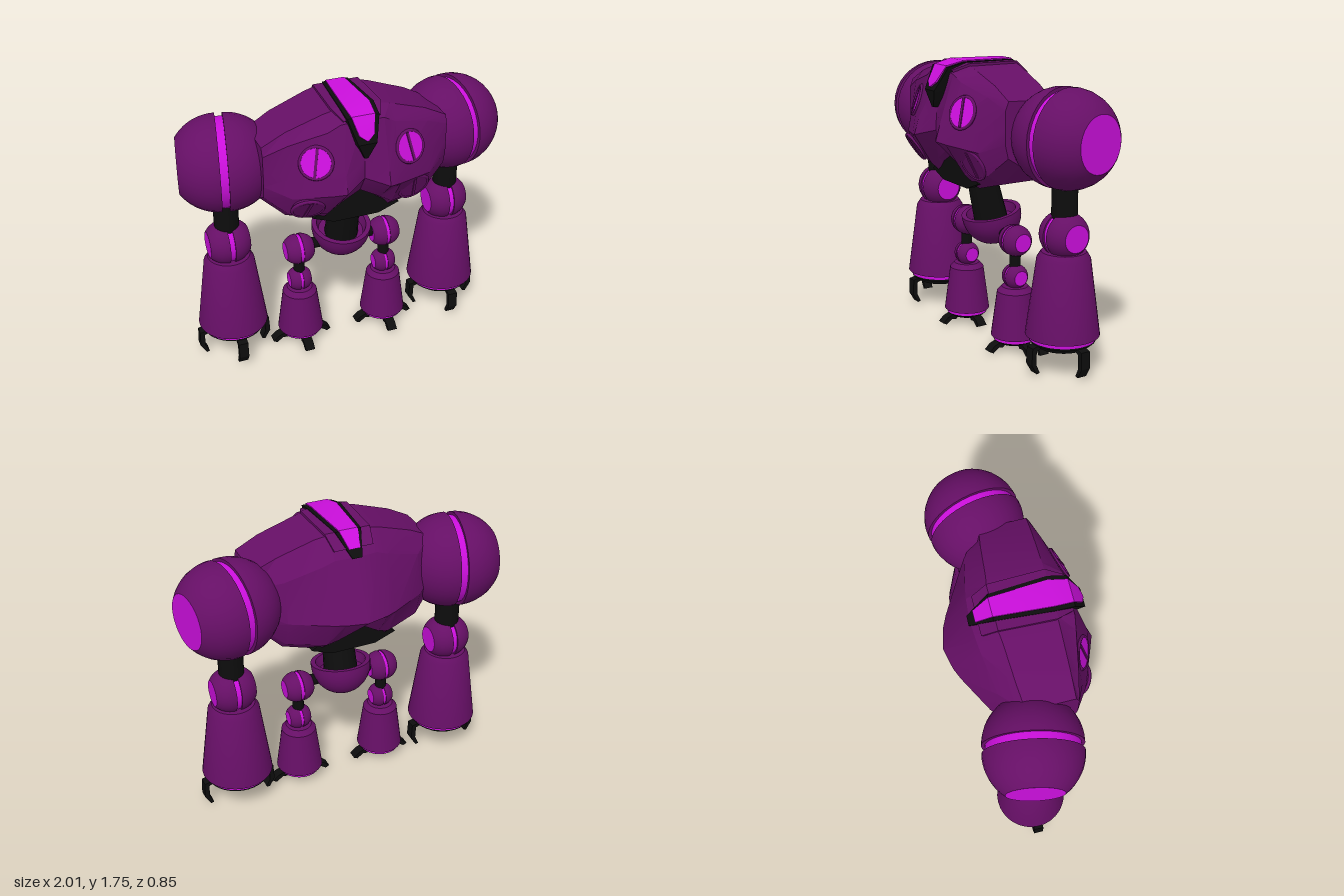
import * as THREE from 'three';
import { toCreasedNormals } from 'three/addons/utils/BufferGeometryUtils.js';

const purple = new THREE.MeshStandardMaterial({ color: 0x660f66 });
purple.name = 'purple armour';
const magenta = new THREE.MeshStandardMaterial({ color: 0xcb0fdc });
magenta.name = 'bright magenta';
const black = new THREE.MeshStandardMaterial({ color: 0x0d0d0d });
black.name = 'black joints';

const V2 = (x, y) => new THREE.Vector2(x, y);

function add(parent, name, geometry, material, x = 0, y = 0, z = 0) {
  const mesh = new THREE.Mesh(geometry, material);
  mesh.name = name;
  mesh.position.set(x, y, z);
  parent.add(mesh);
  return mesh;
}

// Skin a grid of loops; loops run along x, their points run back to front over the top
function loft(loops, closed) {
  const n = loops[0].length, index = [];
  for (let i = 0; i < loops.length - 1; i++) {
    for (let j = 0; j < (closed ? n : n - 1); j++) {
      const a = i * n + j, b = i * n + (j + 1) % n;
      index.push(a, b, a + n, b, b + n, a + n);
    }
  }
  if (closed) {
    const last = (loops.length - 1) * n;
    for (let j = 1; j < n - 1; j++) index.push(0, j + 1, j, last, last + j, last + j + 1);
  }
  const g = new THREE.BufferGeometry();
  g.setAttribute('position', new THREE.Float32BufferAttribute(loops.flat(2), 3));
  g.setIndex(index);
  return toCreasedNormals(g, 0.35);
}

// Raised strip over the top of the torso; path points are [z, y, halfWidth]
function ribbon(path, skirt) {
  const edge = (side, depth) => path.map(([z, y, w]) => {
    const d = V2(0.05 - z, 1.45 - y).normalize().multiplyScalar(depth);
    return [side * w, y + d.y, z + d.x];
  });
  return loft([edge(-1, skirt), edge(-1, 0), edge(1, 0), edge(1, skirt)], false);
}

const lathe = (points, segments = 32) =>
  toCreasedNormals(new THREE.LatheGeometry(points.map(p => V2(...p)), segments), 0.5);

// Ball joint: two truncated half shells around a bright core, axis along x
function ballJoint(parent, name, r, capR, gap, x, y, z, yaw = 0) {
  const joint = new THREE.Group();
  joint.name = name;
  joint.position.set(x, y, z);
  joint.rotation.y = yaw;
  const end = Math.acos(capR / r), points = [[r * 0.85, gap / 2], [r, gap / 2]];
  for (let i = 1; i <= 10; i++) {
    const a = end * i / 10;
    points.push([r * Math.cos(a), gap / 2 + r * Math.sin(a)]);
  }
  const capAt = gap / 2 + r * Math.sin(end);
  for (const s of [-1, 1]) {
    add(joint, 'half shell', lathe(points).rotateZ(-s * Math.PI / 2), purple);
    add(joint, 'end disc', new THREE.CylinderGeometry(capR, capR, 0.006, 32).rotateZ(Math.PI / 2),
      magenta, s * (capAt - 0.003));
  }
  add(joint, 'core', new THREE.CylinderGeometry(r * 0.93, r * 0.93, gap, 32).rotateZ(Math.PI / 2), magenta);
  parent.add(joint);
}

// Three claws (front, left, right) from a radial profile
function claws(parent, name, profile, width, x, z) {
  const g = new THREE.ExtrudeGeometry(new THREE.Shape(profile.map(p => V2(...p))),
    { depth: width, bevelEnabled: false }).translate(0, 0, -width / 2);
  for (const angle of [0, -Math.PI / 2, Math.PI]) add(parent, name, g, black, x, 0, z).rotation.y = angle;
}

export function createModel() {
  const model = new THREE.Group();
  model.name = 'heavy robot';

  // Torso cross-sections: x, then [z, y] from top back, over the chest, under and up the back
  const stations = [
    [0, [[-.13, 1.725], [.2, 1.73], [.3, 1.69], [.34, 1.45], [.345, 1.34], [.27, 1.22], [.17, 1.2], [-.15, 1.2], [-.3, 1.2], [-.43, 1.28], [-.26, 1.62]]],
    [.13, [[-.13, 1.72], [.2, 1.725], [.3, 1.68], [.39, 1.4], [.42, 1.3], [.26, 1.14], [.17, 1.09], [-.17, 1.07], [-.29, 1.12], [-.4, 1.28], [-.25, 1.62]]],
    [.2, [[-.12, 1.705], [.2, 1.71], [.29, 1.64], [.375, 1.4], [.395, 1.29], [.27, 1.1], [.17, 1.005], [-.18, 1.02], [-.28, 1.1], [-.37, 1.28], [-.24, 1.59]]],
    [.42, [[-.1, 1.63], [.2, 1.64], [.25, 1.58], [.285, 1.39], [.31, 1.27], [.25, 1.13], [.15, 1.07], [-.14, 1.07], [-.2, 1.12], [-.25, 1.28], [-.2, 1.52]]],
    [.56, [[-.08, 1.56], [.2, 1.57], [.22, 1.52], [.22, 1.42], [.22, 1.33], [.2, 1.25], [.12, 1.2], [-.1, 1.2], [-.13, 1.24], [-.14, 1.33], [-.11, 1.47]]],
  ];
  const section = (s) => ([x, pts]) => pts.map(([z, y]) => [s * x, y, z]);
  const loops = [...stations.slice(1).reverse().map(section(-1)), ...stations.map(section(1))];
  const torso = add(model, 'torso', loft(loops, true), purple);

  // Crest along the top of the torso
  add(model, 'crest housing', ribbon([[-.22, 1.66, .12], [-.13, 1.732, .14], [.2, 1.737, .15], [.3, 1.70, .11]], .06), purple);
  add(model, 'crest frame', ribbon([[-.27, 1.62, .03], [-.14, 1.735, .08], [.2, 1.742, .105], [.31, 1.715, .095],
    [.385, 1.58, .055], [.365, 1.48, .01]], .08), black);
  add(model, 'crest panel', ribbon([[-.235, 1.662, .035], [-.14, 1.742, .058], [.2, 1.748, .08], [.31, 1.723, .07],
    [.37, 1.63, .045], [.386, 1.6, .005]], .01), magenta);

  // Chest ports, seated on the torso surface
  torso.updateMatrixWorld();
  const ray = new THREE.Raycaster();
  for (const s of [-1, 1]) {
    for (const [name, x, y, material] of [['upper port', .28, 1.48, magenta], ['lower port', .33, 1.185, purple]]) {
      ray.set(new THREE.Vector3(s * x, y, 2), new THREE.Vector3(0, 0, -1));
      const hit = ray.intersectObject(torso)[0];
      const port = new THREE.Group();
      port.name = name;
      port.position.copy(hit.point);
      port.quaternion.setFromUnitVectors(new THREE.Vector3(0, 0, 1), hit.face.normal);
      add(port, 'port disc', new THREE.CylinderGeometry(.09, .09, .03, 24).rotateX(Math.PI / 2), material, 0, 0, -.005);
      add(port, 'port rim', new THREE.TorusGeometry(.092, .01, 6, 24), purple, 0, 0, .004);
      add(port, 'port bar', new THREE.BoxGeometry(.016, .17, .012), purple, 0, 0, .01).rotation.z = s * .15;
      model.add(port);
    }
  }

  // Belly, waist and pelvis
  const belly = new THREE.Shape([[0, 1.23], [-.27, 1.05], [-.14, 1.0], [.14, 1.0], [.27, 1.05]].map(p => V2(...p)));
  add(model, 'belly', new THREE.ExtrudeGeometry(belly, { depth: .45, bevelEnabled: false }), black, 0, 0, -.23);
  add(model, 'waist', new THREE.CylinderGeometry(.09, .105, .34, 16), black, 0, .9, 0).rotation.x = .24;
  const bowl = [];
  for (let i = 0; i <= 10; i++) {
    const a = Math.PI / 2 * i / 10;
    bowl.push([.185 * Math.sin(a), -.19 * Math.cos(a)]);
  }
  bowl.push([.185, .02], [.155, .02], [.14, -.04], [0, -.05]);
  add(model, 'pelvis', lathe(bowl), purple, 0, .78, -.04).rotation.x = .2;

  for (const s of [-1, 1]) {
    // Arm
    const arm = new THREE.Group();
    arm.name = s > 0 ? 'leftArm' : 'rightArm';
    const ax = s * .718, az = -.075;
    ballJoint(arm, 'shoulder', .287, .165, .045, ax, 1.365, az, s * .2);
    add(arm, 'upper arm', new THREE.CylinderGeometry(.075, .075, .25, 24), black, ax, 1.0, az);
    ballJoint(arm, 'elbow', .135, .08, .03, ax, .815, az);
    add(arm, 'forearm', lathe([[.19, .22], [.217, .225], [.155, .68], [.13, .72], [0, .72]]), purple, ax, 0, az);
    add(arm, 'cuff ring', new THREE.CylinderGeometry(.195, .195, .03, 32), magenta, ax, .215, az);
    add(arm, 'hand', lathe([[0, .125], [.08, .132], [.15, .155], [.193, .19], [.193, .203]]), black, ax, 0, az);
    claws(arm, 'claw', [[.185, .19], [.17, .17], [.197, .16], [.2, .08], [.175, .025], [.195, .02], [.23, .08], [.225, .18]], .06, ax, az);
    model.add(arm);

    // Leg
    const leg = new THREE.Group();
    leg.name = s > 0 ? 'leftLeg' : 'rightLeg';
    const lx = s * .285, lz = -.03;
    add(leg, 'hip axle', new THREE.CylinderGeometry(.035, .035, .14, 16).rotateZ(Math.PI / 2), black, s * .17, .7, lz);
    ballJoint(leg, 'hip', .095, .055, .02, lx, .68, lz);
    add(leg, 'thigh', new THREE.CylinderGeometry(.035, .035, .16, 16), black, lx, .56, lz);
    ballJoint(leg, 'knee', .075, .045, .016, lx, .455, lz);
    add(leg, 'shin', lathe([[.125, .08], [.145, .085], [.108, .365], [.08, .395], [0, .395]]), purple, lx, 0, lz);
    add(leg, 'ankle ring', new THREE.CylinderGeometry(.13, .13, .025, 32), magenta, lx, .077, lz);
    add(leg, 'foot', lathe([[0, .02], [.06, .025], [.11, .045], [.128, .06], [.128, .068]]), black, lx, 0, lz);
    claws(leg, 'toe', [[.08, .05], [.1, .025], [.13, .03], [.17, 0], [.195, .012], [.16, .045], [.12, .06]], .06, lx, lz);
    model.add(leg);
  }
  return model;
}
